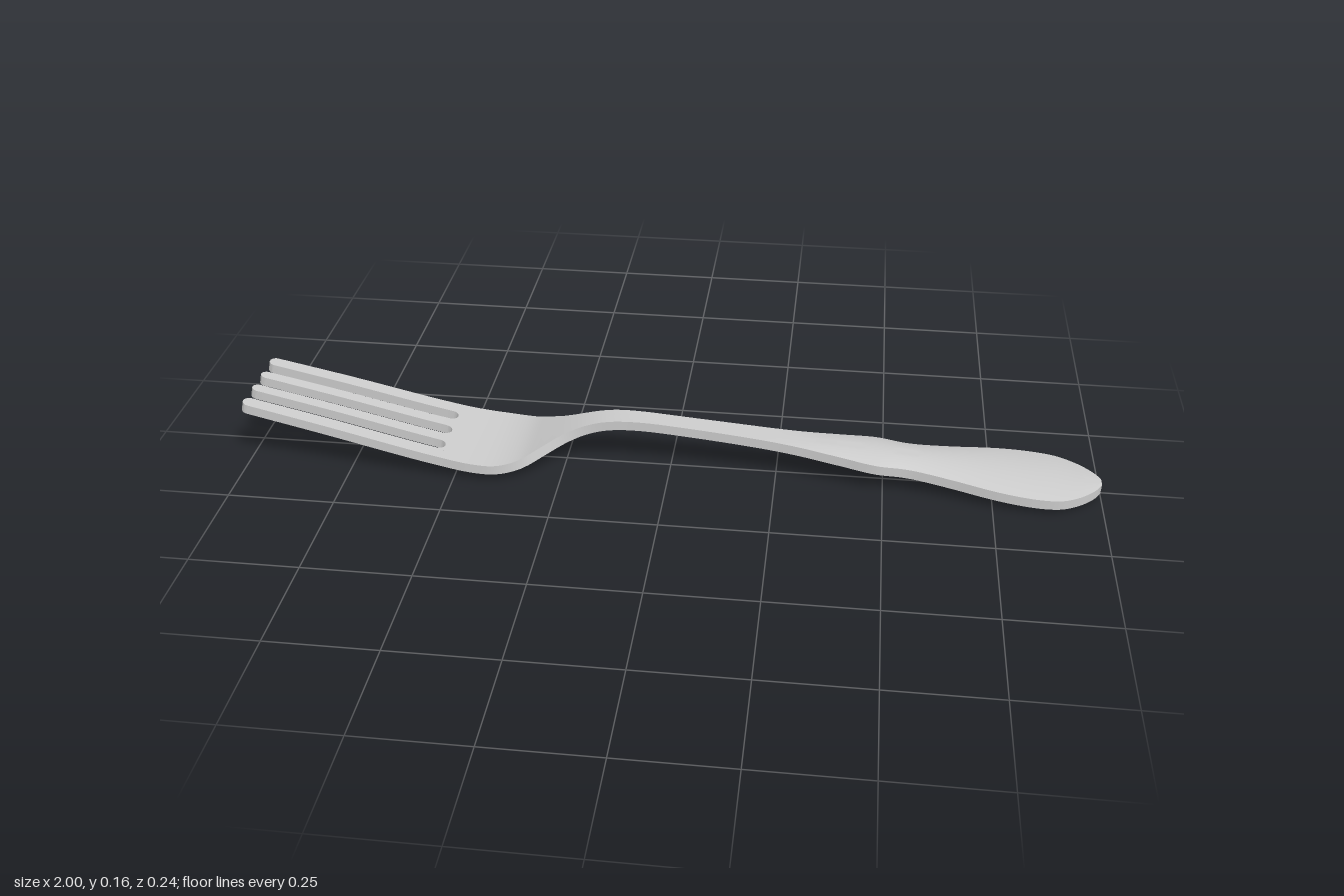
import * as THREE from 'three';
import { toCreasedNormals } from 'three/addons/utils/BufferGeometryUtils.js';

const HALF = 0.0115; // half thickness of the metal
const ROOT = -0.53; // where the slots end
const TIP = -0.998;

// Smooth interpolation through [x, value] pairs
function smoothTable(p) {
  const slope = (i) => {
    const a = p[Math.max(i - 1, 0)], b = p[Math.min(i + 1, p.length - 1)];
    return (b[1] - a[1]) / (b[0] - a[0]);
  };
  return (x) => {
    let i = 0;
    while (i < p.length - 2 && x > p[i + 1][0]) i++;
    const h = p[i + 1][0] - p[i][0], t = (x - p[i][0]) / h, t2 = t * t, t3 = t2 * t;
    return (2 * t3 - 3 * t2 + 1) * p[i][1] + (t3 - 2 * t2 + t) * h * slope(i)
      + (3 * t2 - 2 * t3) * p[i + 1][1] + (t3 - t2) * h * slope(i + 1);
  };
}

// Side profile, plan outline and swelling of the handle
const height = smoothTable([[-1, 0.157], [-0.8, 0.112], [-0.6, 0.064], [-0.5, 0.043], [-0.44, 0.035],
  [-0.39, 0.034], [-0.34, 0.043], [-0.29, 0.065], [-0.24, 0.088], [-0.19, 0.107], [-0.14, 0.118],
  [-0.08, 0.12], [0, 0.115], [0.2, 0.097], [0.4, 0.075], [0.6, 0.053], [0.8, 0.033], [0.9, 0.025], [1, 0.022]]);
const outline = smoothTable([[-1, 0.112], [-0.8, 0.116], [-0.53, 0.12], [-0.45, 0.122], [-0.4, 0.119],
  [-0.35, 0.103], [-0.3, 0.074], [-0.25, 0.046], [-0.2, 0.032], [-0.12, 0.027], [0, 0.025], [0.2, 0.029],
  [0.3, 0.036], [0.4, 0.051], [0.48, 0.063], [0.54, 0.058], [0.58, 0.06], [0.66, 0.074], [0.76, 0.095],
  [0.84, 0.102], [0.9, 0.096], [0.94, 0.077], [0.97, 0.053], [0.99, 0.03], [1, 0.012]]);
const swell = smoothTable([[-1, 0], [0.2, 0], [0.3, 0.002], [0.42, 0.009], [0.55, 0.012], [0.85, 0.012], [0.95, 0.006], [1, 0.001]]);

// Closed strip of metal along x, between two edges given as z = f(x)
function strip(name, xs, edges, across, material) {
  const pos = [], idx = [], ring = 2 * (across + 1);
  for (const x of xs) {
    const [z0, z1] = edges(x);
    const angle = Math.atan((height(x + 0.002) - height(x - 0.002)) / 0.004);
    for (let j = 0; j < ring; j++) {
      const top = j <= across;
      const u = (top ? j : ring - 1 - j) / across;
      const dome = swell(x) * (1 - (2 * u - 1) ** 2);
      const off = (HALF + dome) * (top ? 1 : -1);
      pos.push(x - Math.sin(angle) * off, height(x) + Math.cos(angle) * off, z0 + (z1 - z0) * u);
    }
  }
  for (let i = 0; i < xs.length - 1; i++) {
    for (let j = 0; j < ring; j++) {
      const a = i * ring + j, b = i * ring + (j + 1) % ring;
      idx.push(a, b, a + ring, b, b + ring, a + ring);
    }
  }
  // End caps
  const last = (xs.length - 1) * ring;
  for (let j = 0; j < across; j++) {
    const t = j, t1 = j + 1, b = ring - 1 - j, b1 = b - 1;
    idx.push(t, b, t1, t1, b, b1);
    idx.push(last + t, last + t1, last + b, last + t1, last + b1, last + b);
  }
  const geo = new THREE.BufferGeometry();
  geo.setAttribute('position', new THREE.Float32BufferAttribute(pos, 3));
  geo.setIndex(idx);
  const mesh = new THREE.Mesh(toCreasedNormals(geo, 0.7), material);
  mesh.name = name;
  return mesh;
}

const range = (a, b, n) => Array.from({ length: n + 1 }, (_, i) => a + (b - a) * i / n);

export function createModel() {
  const fork = new THREE.Group();
  fork.name = 'fork';
  const metal = new THREE.MeshStandardMaterial({ color: 0xcccccc });

  // Head, neck and handle in one strip, with closer sections at the rounded end
  const bodyXs = [...range(ROOT, 0.9, 100), ...range(0.9, 1, 16).slice(1)];
  fork.add(strip('headAndHandle', bodyXs, (x) => [-outline(x), outline(x)], 12, metal));

  // Slots with round inner ends; the tines are what remains between them
  const slotHalf = 0.017;
  const slot = (x) => {
    const d = Math.max(0, x - (ROOT - slotHalf));
    return Math.sqrt(Math.max(0, slotHalf ** 2 - d * d));
  };
  const sideSlot = (x) => 0.066 - 0.004 * (ROOT - x) / (ROOT - TIP);
  const inner = (x) => [slot(x), sideSlot(x) - slot(x)];
  const outer = (x) => [sideSlot(x) + slot(x), outline(x)];

  // Round off the tip of a tine
  const rounded = (edge) => (x) => {
    const [a, b] = edge(x), r = 0.015;
    const d = Math.max(0, TIP + r - x) / r;
    const k = Math.max(0.25, Math.sqrt(Math.max(0, 1 - d * d)));
    const mid = (a + b) / 2, half = (b - a) / 2 * k;
    return [mid - half, mid + half];
  };
  const mirrored = (edge) => (x) => {
    const [a, b] = edge(x);
    return [-b, -a];
  };

  const tineXs = [...range(TIP, TIP + 0.016, 8), ...range(TIP + 0.016, ROOT - slotHalf, 26).slice(1),
    ...range(0, Math.PI / 2, 8).slice(1).map((t) => ROOT - slotHalf + slotHalf * Math.sin(t))];
  for (const [name, edge] of [['innerTine', rounded(inner)], ['outerTine', rounded(outer)]]) {
    fork.add(strip(name + 'Front', tineXs, edge, 1, metal));
    fork.add(strip(name + 'Back', tineXs, mirrored(edge), 1, metal));
  }
  return fork;
}
